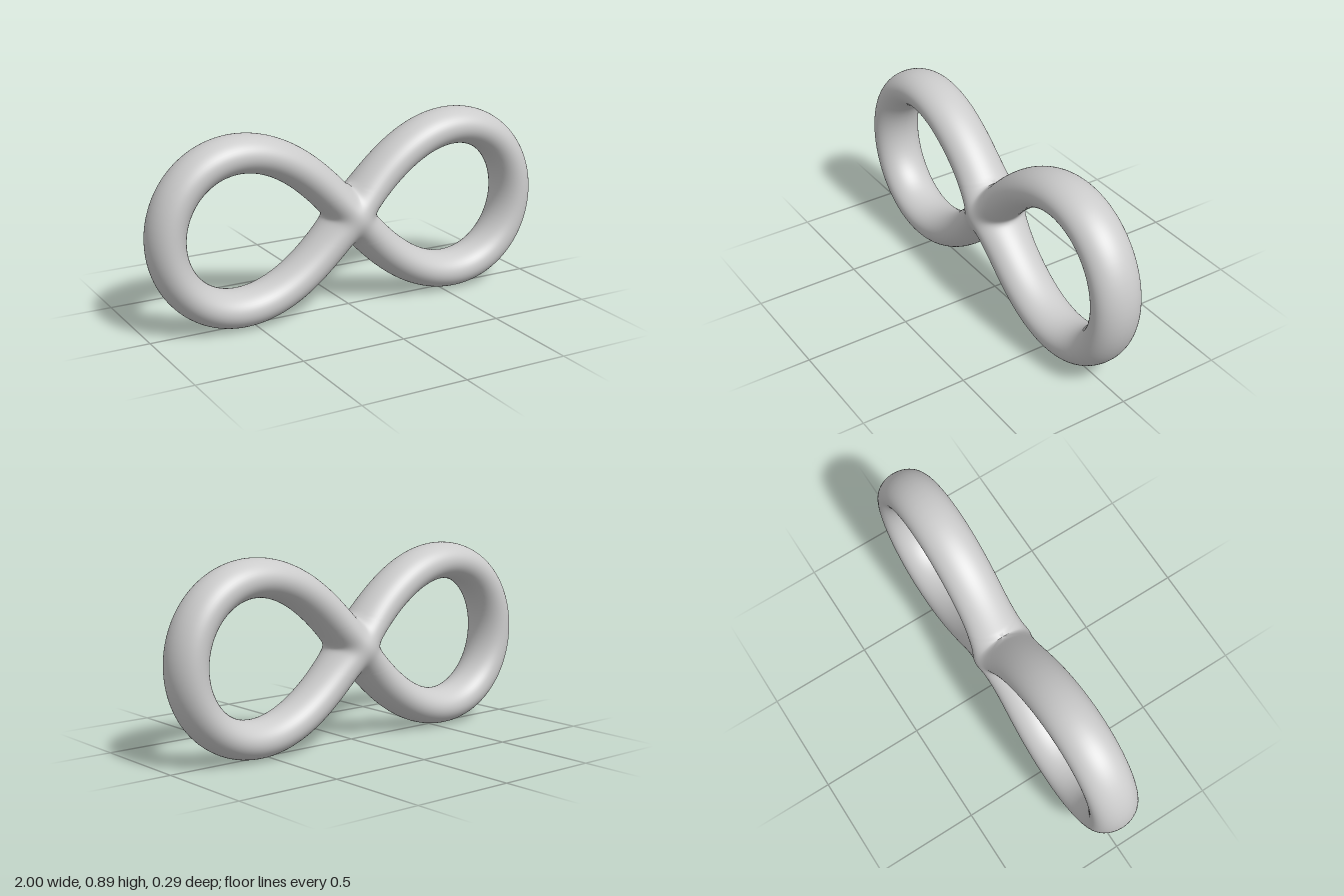
import * as THREE from 'three';
import { mergeGeometries, mergeVertices } from 'three/addons/utils/BufferGeometryUtils.js';

const A = 0.91, B = 1.0155;        // centre line: half length and height factor
const RX = 0.088, RZ = 0.117;      // half width and half depth of the band
const P = 8;                       // sharpness of the blend at the crossing
const CX = 0.5, CY = 0.4475;       // middle of a lobe, height of the crossing

// One strand of the figure eight: far end of the right lobe, over the top, through the crossing
const strand = [];
for (let i = 0; i <= 120; i++) {
  const t = (i / 120) * (Math.PI / 2 + 0.5);
  const q = 1 + Math.sin(t) ** 2;
  strand.push([A * Math.cos(t) / q, B * Math.sin(t) * Math.cos(t) / q]);
}

function distance(x, y) {
  let best = Infinity;
  for (let i = 0; i < strand.length - 1; i++) {
    const [ax, ay] = strand[i], [bx, by] = strand[i + 1];
    const dx = bx - ax, dy = by - ay;
    const t = THREE.MathUtils.clamp(((x - ax) * dx + (y - ay) * dy) / (dx * dx + dy * dy), 0, 1);
    best = Math.min(best, (x - ax - t * dx) ** 2 + (y - ay - t * dy) ** 2);
  }
  return Math.sqrt(best);
}

// Returns a test "is depth z inside the solid" at a place in the front plane
function column(x, y) {
  const d1 = distance(x, y) / RX, d2 = distance(x, -y) / RX;
  const near = Math.min(d1, d2), far = Math.max(d1, d2);
  const r = Math.hypot(x, y);
  const weight = Math.exp(-((r / 0.35) ** 4));
  const depth = RZ * (1 + 0.153 * Math.exp(-((r / 0.15) ** 2)));
  return (z) => {
    const zz = (z / depth) ** 2;
    const n = near * near + zz + 1e-9, f = far * far + zz + 1e-9;
    return n ** (-P / 2) + weight * f ** (-P / 2) > 1;
  };
}

// Finds where a test changes from its value at lo
function bisect(lo, hi, test) {
  const first = test(lo);
  for (let i = 0; i < 26; i++) {
    const mid = (lo + hi) / 2;
    if (test(mid) === first) lo = mid; else hi = mid;
  }
  return (lo + hi) / 2;
}

// Front surface of the right lobe, laid out on rays from the middle of its hole
function lobeSheet() {
  const rings = 26, seamRays = 48, outerRays = 200;
  const notch = bisect(0, 0.3, (y) => column(0, y)(0));
  const notchAngle = Math.PI - Math.atan2(notch, CX);
  const rays = seamRays + outerRays;
  const positions = [], indices = [];

  for (let j = 0; j <= rays; j++) {
    const onSeam = j >= outerRays;
    const angle = onSeam
      ? THREE.MathUtils.lerp(notchAngle, 2 * Math.PI - notchAngle, (j - outerRays) / seamRays)
      : THREE.MathUtils.lerp(-notchAngle, notchAngle, j / outerRays);
    const c = Math.cos(angle), s = Math.sin(angle);
    const solid = (r) => column(CX + r * c, r * s)(0);
    const atNotch = j === 0 || j === outerRays || j === rays;

    // Inner and outer edge along the ray
    let r = 0;
    while (!solid(r)) r += 0.01;
    const inner = bisect(r - 0.01, r, solid);
    let outer = -CX / c;
    if (!onSeam && !atNotch) {
      while (solid(r)) r += 0.01;
      outer = bisect(r - 0.01, r, solid);
    }

    for (let k = 0; k <= rings; k++) {
      const u = (1 - Math.cos(Math.PI * k / rings)) / 2;
      const rr = THREE.MathUtils.lerp(inner, outer, u);
      const seamPoint = k === rings && (onSeam || atNotch);
      const x = seamPoint ? 0 : CX + rr * c, y = rr * s;
      const edge = k === 0 || (k === rings && (!onSeam || atNotch));
      const inside = column(x, y);
      const z = edge || !inside(0) ? 0 : bisect(0, 0.3, inside);
      positions.push(x, y, z);
      if (j < rays && k < rings) {
        const a = j * (rings + 1) + k, b = a + rings + 1;
        indices.push(a, a + 1, b + 1, a, b + 1, b);
      }
    }
  }
  const sheet = new THREE.BufferGeometry();
  sheet.setAttribute('position', new THREE.Float32BufferAttribute(positions, 3));
  sheet.setIndex(indices);
  return sheet;
}

// Mirrored copy with the faces still pointing outward
function mirrored(sheet, sx, sz) {
  const copy = sheet.clone().scale(sx, 1, sz);
  if (sx * sz < 0) copy.setIndex([...sheet.index.array].reverse());
  return copy;
}

export function createModel() {
  const group = new THREE.Group();
  group.name = 'figureEight';

  // Four mirrored sheets joined into one smooth closed band
  const sheet = lobeSheet();
  const sheets = [];
  for (const sx of [1, -1]) for (const sz of [1, -1]) sheets.push(mirrored(sheet, sx, sz));
  sheets.forEach((g) => g.deleteAttribute('normal'));
  const geometry = mergeVertices(mergeGeometries(sheets), 1e-5);
  geometry.computeVertexNormals();

  const band = new THREE.Mesh(geometry, new THREE.MeshStandardMaterial({ color: 0xcccccc }));
  band.name = 'loopBand';
  band.position.y = CY;
  group.add(band);
  return group;
}
